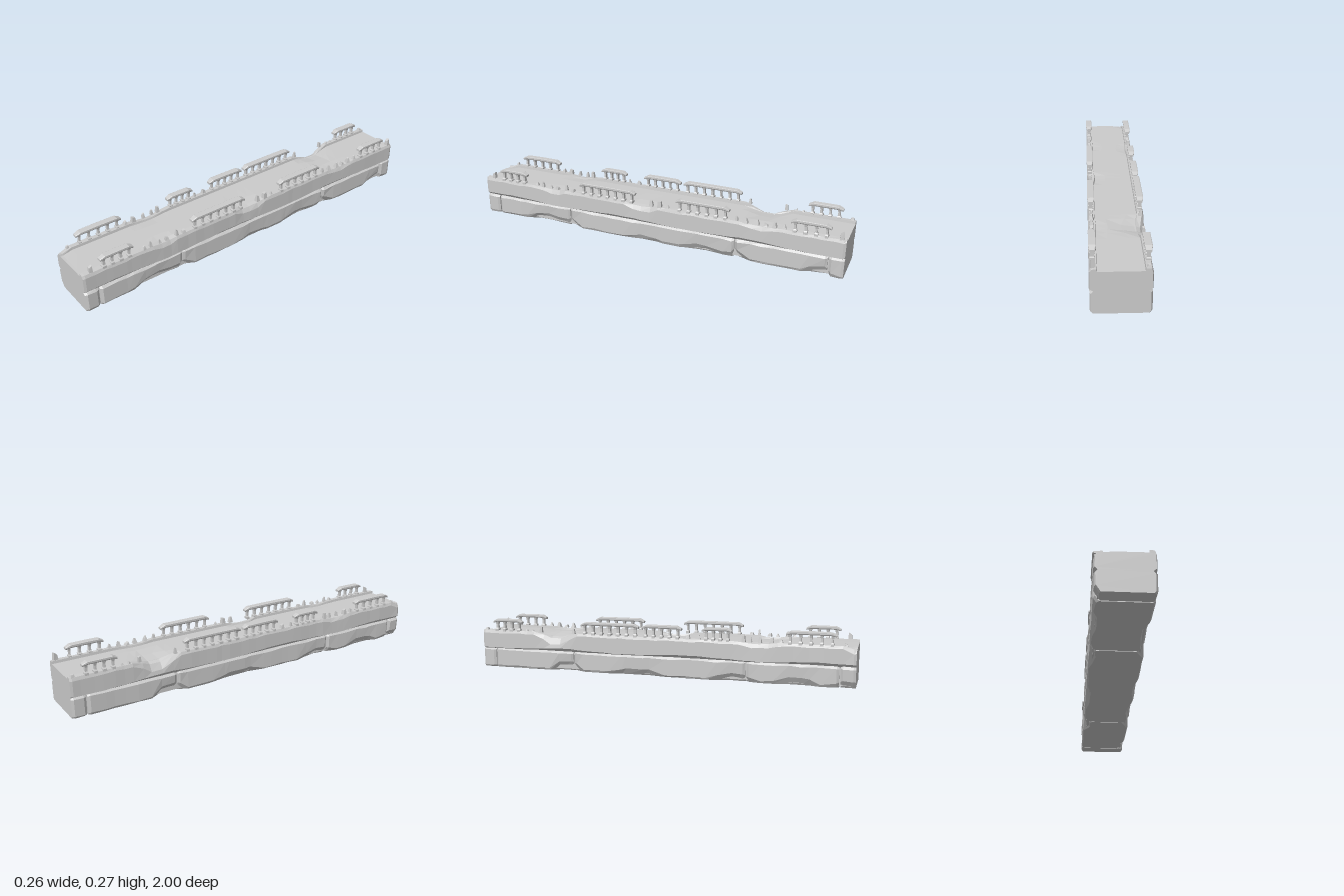
import * as THREE from 'three';

const stone = new THREE.MeshStandardMaterial({ color: 0xcccccc, flatShading: true });
const W = 0.132; // half width of the wall

// small seeded generator for chips and wobble
let seed = 7;
const rnd = (a = 0, b = 1) => {
  seed = (seed * 16807) % 2147483647;
  return a + (b - a) * (seed / 2147483647);
};

// skin of rings [x, y] (counter-clockwise seen from +z) at ascending z, with caps
function loft(zs, rings) {
  const n = rings[0].length, pos = [], idx = [];
  rings.forEach((r, i) => r.forEach(([x, y]) => pos.push(x, y, zs[i])));
  for (let i = 0; i < rings.length - 1; i++)
    for (let j = 0; j < n; j++) {
      const a = i * n + j, b = i * n + (j + 1) % n;
      idx.push(a, b, a + n, b, b + n, a + n);
    }
  const cap = (r) => THREE.ShapeUtils.triangulateShape(r.map(p => new THREE.Vector2(...p)), []);
  const last = (rings.length - 1) * n;
  cap(rings[0]).forEach(([a, b, c]) => idx.push(a, c, b));
  cap(rings[rings.length - 1]).forEach(([a, b, c]) => idx.push(last + a, last + b, last + c));
  const g = new THREE.BufferGeometry();
  g.setAttribute('position', new THREE.Float32BufferAttribute(pos, 3));
  g.setIndex(idx);
  g.computeVertexNormals();
  return g;
}

function add(parent, name, geo) {
  const m = new THREE.Mesh(geo, stone);
  m.name = name;
  parent.add(m);
  return m;
}

// z stations of a block, close together at the two ends
function stations(z0, z1, step) {
  const n = Math.max(1, Math.round((z1 - z0 - 0.024) / step)), out = [z0];
  for (let i = 0; i <= n; i++) {
    const wob = i > 0 && i < n ? rnd(-0.3, 0.3) : 0;
    out.push(z0 + 0.012 + (z1 - z0 - 0.024) * (i + wob) / n);
  }
  return [...out, z1];
}

// strength of damage at z from a list of [side, centre, half length, strength]
const damage = (list, side, z) => list.reduce((m, [s, c, w, k]) =>
  s === side ? Math.max(m, k * Math.min(1, 1.6 * Math.max(0, 1 - Math.abs(z - c) / w))) : m, 0);

const lowerBites = [
  [1, 0.62, 0.14, 0.8], [1, 0.46, 0.05, 0.7], [1, 0.02, 0.12, 0.4], [1, -0.3, 0.16, 0.6],
  [1, -0.48, 0.05, 0.9], [1, -0.88, 0.07, 0.9], [-1, -0.5, 0.1, 0.9], [-1, -0.1, 0.15, 0.5],
  [-1, 0.4, 0.12, 0.7], [-1, 0.97, 0.08, 0.5], [-1, 0.72, 0.12, 0.6],
];
const upperBites = [
  [-1, -0.56, 0.11, 1], [1, 0.05, 0.1, 0.5], [1, -0.58, 0.09, 0.25], [1, 0.57, 0.08, 0.3],
  [-1, 0.52, 0.1, 0.3], [-1, 1, 0.06, 0.4],
];

// base course block with chamfered, bitten edges
function baseBlock(z0, z1) {
  const zs = stations(z0, z1, 0.06);
  return loft(zs, zs.map((z, i) => {
    const e = (i === 0 || i === zs.length - 1) ? 0.007 : 0;
    const half = (s) => {
      const d = damage(lowerBites, s, z), w = W - e - rnd(0, 0.003);
      return [
        [s * (w - 0.004 - d * 0.035 - rnd(0, 0.006)), 0],
        [s * (w - d * 0.006), 0.008 + d * 0.045 + rnd(0, 0.006)],
        [s * w, 0.094 + rnd(-0.003, 0.003)],
        [s * (w - 0.012), 0.105],
      ];
    };
    return [...half(1), ...half(-1).reverse()];
  }));
}

// upper course: deck with a raised kerb along each side
function deckSlab() {
  const zs = stations(-1, 1, 0.05);
  return loft(zs, zs.map((z, i) => {
    const e = (i === 0 || i === zs.length - 1) ? 0.004 : 0;
    const seam = 0.006 * Math.sin(z * 9) + rnd(-0.002, 0.002);
    const half = (s) => {
      const d = damage(upperBites, s, z), w = W - e - rnd(0, 0.002);
      return [
        [s * (w - 0.016), 0.1],
        [s * w, 0.113 + seam],
        [s * (w - d * 0.004), 0.192 - d * 0.05 - rnd(0, 0.006)],
        [s * (w - 0.006 - d * 0.018), 0.205 - d * 0.032 - rnd(0, 0.003)],
        [s * (0.1 - d * 0.012), 0.205 - d * 0.026],
        [s * (0.098 - d * 0.016), 0.192 - d * 0.014],
        [s * (0.05 - d * 0.03), 0.192 - Math.max(0, d - 0.3) * 0.008],
      ];
    };
    return [...half(1), ...half(-1).reverse()];
  }));
}

// square baluster, waisted in the middle
function baluster(parent, x, z) {
  const r = 0.0165;
  const profile = [[r, 0.198], [r, 0.21], [r * 0.62, 0.216], [r * 0.6, 0.236], [r * 0.9, 0.252]]
    .map(([a, y]) => new THREE.Vector2(a, y));
  const g = new THREE.LatheGeometry(profile, 4, Math.PI / 4);
  g.scale(1.05, 1, rnd(0.65, 0.85));
  g.rotateY(rnd(-0.08, 0.08));
  add(parent, 'baluster', g).position.set(x, 0, z);
}

// surviving run of balustrade with a worn handrail
function railing(side, z0, z1) {
  const run = new THREE.Group();
  run.name = side > 0 ? 'leftRailing' : 'rightRailing';
  const x = side * 0.116, n = Math.max(2, Math.round((z1 - z0) / 0.056));
  for (let i = 0; i <= n; i++)
    baluster(run, x, z0 + 0.014 + (z1 - z0 - 0.028) * i / n);
  const zs = [z0 - 0.006, z0 + 0.018, (z0 + z1) / 2 + rnd(-0.03, 0.03), z1 - 0.018, z1 + 0.006];
  const rail = loft(zs, zs.map((z, i) => {
    const end = i === 0 || i === 4, w = end ? 0.012 : 0.0165;
    const top = end ? 0.254 : 0.267 - rnd(0, 0.002), low = end ? 0.243 : 0.25;
    return [[x - w * 0.8, low], [x + w * 0.8, low], [x + w, low + 0.005],
      [x + w, top - 0.002], [x + w * 0.8, top], [x - w * 0.8, top], [x - w, top - 0.002], [x - w, low + 0.005]];
  }));
  add(run, 'handrail', rail);
  return run;
}

// broken baluster stump with a slanted, pointed top
function stump(parent, side, z) {
  const h = rnd(0.012, 0.036), r = rnd(0.011, 0.017);
  const g = new THREE.CylinderGeometry(r * rnd(0.25, 0.75), r, h, 4, 1);
  g.rotateY(Math.PI / 4 + rnd(-0.2, 0.2));
  const p = g.attributes.position, tilt = rnd(-0.7, 0.7);
  for (let i = 0; i < p.count; i++)
    if (p.getY(i) > 0) p.setY(i, p.getY(i) + p.getZ(i) * tilt);
  add(parent, 'brokenBaluster', g).position.set(side * 0.115, 0.2 + h / 2, z);
}

export function createModel() {
  const model = new THREE.Group();
  model.name = 'ruinedStoneWalkway';

  // base course, split by open joints
  const joints = [-1, -0.925, -0.46, 0.47, 0.925, 1];
  for (let i = 0; i < joints.length - 1; i++)
    add(model, 'baseBlock', baseBlock(joints[i] + (i ? 0.003 : 0), joints[i + 1] - (i < 4 ? 0.003 : 0)));
  // recessed core behind the joints
  add(model, 'baseCore', new THREE.BoxGeometry(0.225, 0.09, 1.96)).position.y = 0.055;
  add(model, 'deck', deckSlab());

  // balustrades, with stumps wherever the handrail is lost
  const runs = {
    '-1': [[-0.93, -0.77], [-0.41, -0.1], [-0.07, 0.13], [0.25, 0.39], [0.67, 0.9]],
    '1': [[-0.92, -0.74], [-0.42, -0.15], [0.09, 0.4], [0.74, 0.9]],
  };
  for (const side of [-1, 1]) {
    const list = runs[side];
    list.forEach(([a, b]) => model.add(railing(side, a, b)));
    for (let z = -0.975; z < 0.98; z += 0.046) {
      const free = list.every(([a, b]) => z < a - 0.02 || z > b + 0.02);
      if (free && damage(upperBites, side, z) < 0.35) stump(model, side, z + rnd(-0.008, 0.008));
    }
  }
  return model;
}
